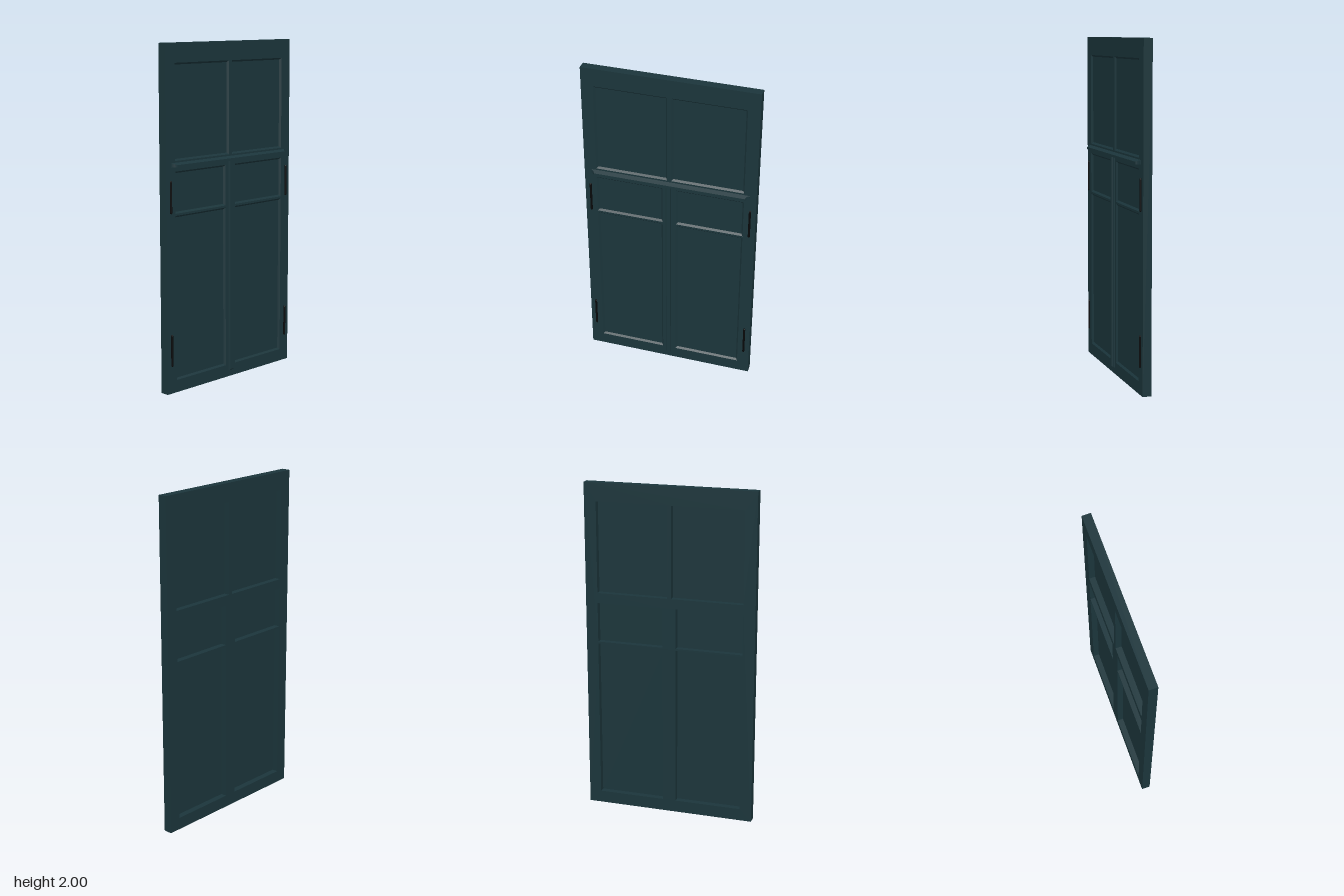
import * as THREE from 'three';

const PAINT = new THREE.MeshStandardMaterial({ color: 0x1b353b, flatShading: true });
const IRON = new THREE.MeshStandardMaterial({ color: 0x070809 });
const FRONT = 0.012, BACK = -0.04, GLASS = 0.001;

function add(group, name, geometry, material = PAINT) {
  const mesh = new THREE.Mesh(geometry, material);
  mesh.name = name;
  group.add(mesh);
  return mesh;
}

const corners = (x0, y0, x1, y1) => [[x0, y0], [x1, y0], [x1, y1], [x0, y1]];
const outline = (pts, Type) => new Type(pts.map(p => new THREE.Vector2(...p)));

// Sloping bead running round the front of an opening, down to the pane
function beadGeometry(x0, y0, x1, y1, inset) {
  const outer = corners(x0, y0, x1, y1).map(p => [...p, FRONT]);
  const inner = corners(x0 + inset, y0 + inset, x1 - inset, y1 - inset).map(p => [...p, GLASS]);
  const pos = [];
  for (let i = 0; i < 4; i++) {
    const j = (i + 1) % 4;
    for (const p of [outer[i], outer[j], inner[j], outer[i], inner[j], inner[i]]) pos.push(...p);
  }
  const g = new THREE.BufferGeometry();
  g.setAttribute('position', new THREE.Float32BufferAttribute(pos, 3));
  g.computeVertexNormals();
  return g;
}

export function createModel() {
  const model = new THREE.Group();
  model.name = 'casementWindow';

  // Openings of the right half; mirrored for the left
  const openings = [];
  for (const [x0, y0, x1, y1] of [[0.012, 1.345, 0.443, 1.89], [0.04, 1.045, 0.443, 1.285], [0.04, 0.073, 0.443, 1.033]]) {
    openings.push([x0, y0, x1, y1], [-x1, y0, -x0, y1]);
  }

  // Frame with through openings
  const frame = outline(corners(-0.515, 0, 0.515, 2), THREE.Shape);
  for (const o of openings) frame.holes.push(outline(corners(...o), THREE.Path));
  add(model, 'frame', new THREE.ExtrudeGeometry(frame, { depth: FRONT - BACK, bevelEnabled: false })).position.z = BACK;

  // Panes and their beads
  for (const [x0, y0, x1, y1] of openings) {
    add(model, 'pane', new THREE.BoxGeometry(x1 - x0, y1 - y0, 0.005))
      .position.set((x0 + x1) / 2, (y0 + y1) / 2, GLASS - 0.0025);
    add(model, 'glazingBead', beadGeometry(x0, y0, x1, y1, 0.01));
  }

  // Moulded cover strip between the two lower casements
  const strip = outline([[-0.021, -0.01], [0.021, -0.01], [0.021, -0.016], [0.012, -0.02],
    [0.011, -0.029], [-0.011, -0.029], [-0.012, -0.02], [-0.021, -0.016]], THREE.Shape);
  const stripGeo = new THREE.ExtrudeGeometry(strip, { depth: 1.272, bevelEnabled: false });
  stripGeo.rotateX(-Math.PI / 2);
  const sp = stripGeo.attributes.position;
  for (let i = 0; i < sp.count; i++) {
    if (sp.getY(i) < 0.01 && sp.getZ(i) > 0.025) sp.setY(i, 0.008);
  }
  stripGeo.computeVertexNormals();
  add(model, 'coverStrip', stripGeo).position.y = 0.04;

  // Drip ledge with scooped ends and a sloping top
  const ledge = new THREE.Shape();
  ledge.moveTo(-0.475, -0.01);
  ledge.lineTo(-0.475, -0.013);
  ledge.quadraticCurveTo(-0.457, -0.018, -0.45, -0.036);
  ledge.lineTo(0.45, -0.036);
  ledge.quadraticCurveTo(0.457, -0.018, 0.475, -0.013);
  ledge.lineTo(0.475, -0.01);
  const ledgeGeo = new THREE.ExtrudeGeometry(ledge, { depth: 0.026, bevelEnabled: false, curveSegments: 8 });
  ledgeGeo.rotateX(-Math.PI / 2);
  const lp = ledgeGeo.attributes.position;
  for (let i = 0; i < lp.count; i++) {
    if (lp.getY(i) > 0.01) lp.setY(i, 0.026 - (lp.getZ(i) - 0.01) * 0.45);
  }
  ledgeGeo.computeVertexNormals();
  add(model, 'dripLedge', ledgeGeo).position.y = 1.31;

  // Pin hinges
  for (const side of [-1, 1]) {
    for (const y of [0.255, 1.142]) {
      add(model, 'hinge', new THREE.CapsuleGeometry(0.0065, 0.175, 4, 12), IRON)
        .position.set(side * 0.481, y, 0.016);
    }
  }
  return model;
}
